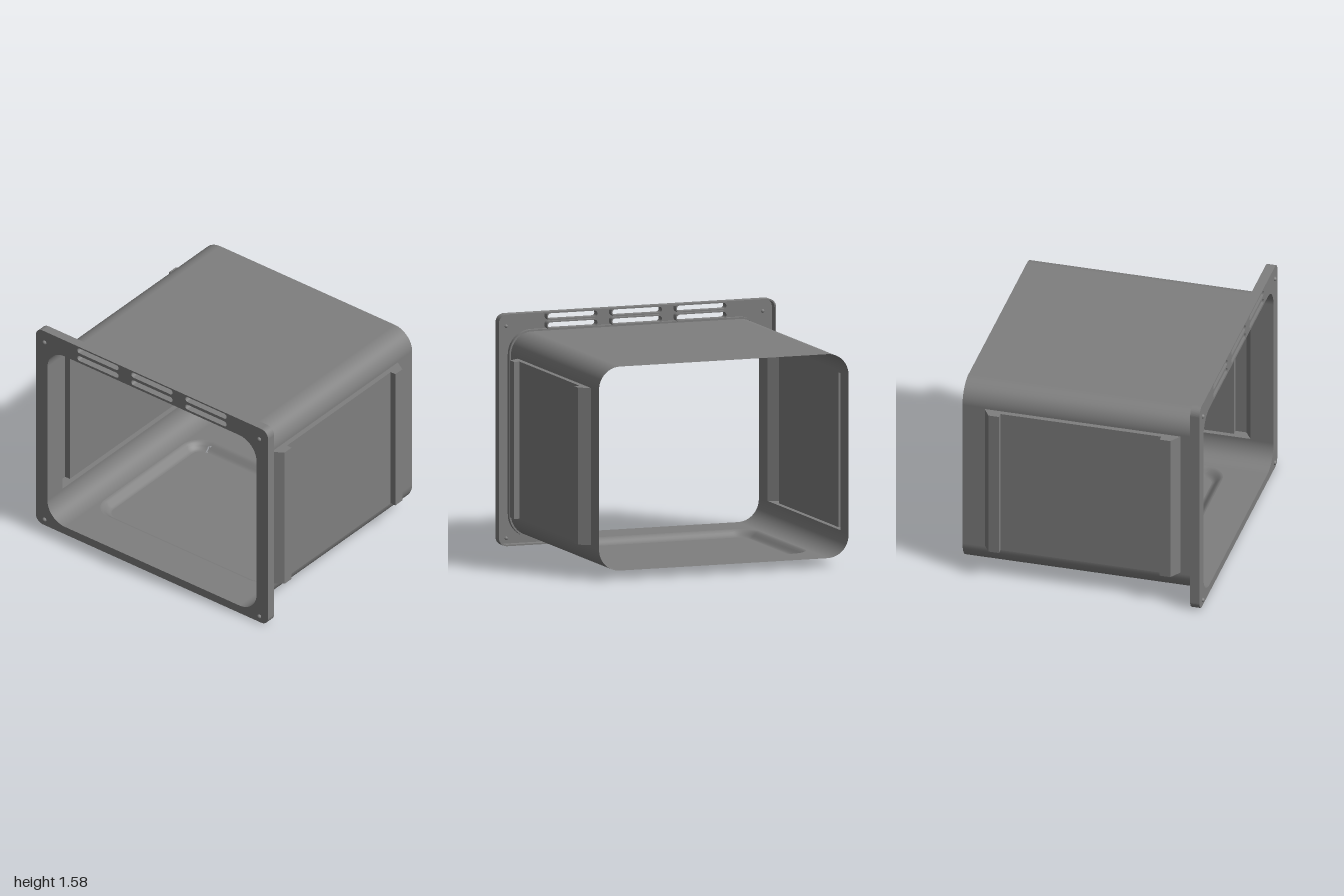
import * as THREE from 'three';

const steel = new THREE.MeshStandardMaterial({ color: 0x7f7f7f, side: THREE.DoubleSide });
steel.name = 'enamelled steel';

// Main dimensions
const X0 = -0.83, X1 = 0.845, Y0 = 0.06, Y1 = 1.45, Z = 0.9, R = 0.15;
const MIDX = (X0 + X1) / 2, LEN = X1 - X0;

// Rounded rectangle centred on (cx, cy) with half sizes w, h
function roundRect(cx, cy, w, h, r, Type = THREE.Shape) {
  const p = new Type(), q = Math.PI / 2;
  p.moveTo(cx + w, cy - h + r);
  p.lineTo(cx + w, cy + h - r);
  p.absarc(cx + w - r, cy + h - r, r, 0, q);
  p.lineTo(cx - w + r, cy + h);
  p.absarc(cx - w + r, cy + h - r, r, q, 2 * q);
  p.lineTo(cx - w, cy - h + r);
  p.absarc(cx - w + r, cy - h + r, r, 2 * q, 3 * q);
  p.lineTo(cx + w - r, cy - h);
  p.absarc(cx + w - r, cy - h + r, r, 3 * q, 4 * q);
  return p;
}

// Extrudes a shape drawn in the z-y plane from x to x + depth
function extrudeX(shape, x, depth) {
  return new THREE.ExtrudeGeometry(shape, { depth, bevelEnabled: false, curveSegments: 10 })
    .rotateY(Math.PI / 2).translate(x, 0, 0);
}

// Ring of constant wall thickness, extruded along x
function ringX(cy, w, h, r, wall, x, depth) {
  const s = roundRect(0, cy, w, h, r);
  s.holes.push(roundRect(0, cy, w - wall, h - wall, r - wall, THREE.Path));
  return extrudeX(s, x, depth);
}

// Sheet through a series of equally long rows of points
function sheet(rows, flat) {
  const n = rows[0].length, pos = [], idx = [];
  rows.forEach(row => row.forEach(p => pos.push(...p)));
  for (let i = 0; i < rows.length - 1; i++) {
    for (let j = 0; j < n - 1; j++) {
      const a = i * n + j, b = a + n;
      idx.push(a, b, a + 1, a + 1, b, b + 1);
    }
  }
  let g = new THREE.BufferGeometry();
  g.setAttribute('position', new THREE.Float32BufferAttribute(pos, 3));
  g.setIndex(idx);
  if (flat) g = g.toNonIndexed();
  g.computeVertexNormals();
  return g;
}

export function createModel() {
  const model = new THREE.Group();
  model.name = 'ovenCavity';
  const add = (name, geometry, parent = model) => {
    const m = new THREE.Mesh(geometry, steel);
    m.name = name;
    parent.add(m);
    return m;
  };

  // Shell: roof, floor with a hole for the pan, four curved corners
  add('roof', new THREE.PlaneGeometry(LEN, 2 * (Z - R)).rotateX(-Math.PI / 2).translate(MIDX, Y1, 0));
  const PX = 0.01, PW = 0.57, PD = 0.742, PR = 0.15;
  const floor = roundRect(MIDX, 0, LEN / 2, Z - R, 0.0001);
  floor.holes.push(roundRect(PX, 0, PW, PD, PR, THREE.Path));
  add('floor', new THREE.ShapeGeometry(floor, 8).rotateX(Math.PI / 2).translate(0, Y0, 0));
  [[1, 1], [1, -1], [-1, -1], [-1, 1]].forEach(([sy, sz], i) => {
    const g = new THREE.CylinderGeometry(R, R, LEN, 14, 1, true, i * Math.PI / 2, Math.PI / 2);
    g.rotateZ(Math.PI / 2);
    g.translate(MIDX, sy > 0 ? Y1 - R : Y0 + R, sz * (Z - R));
    add('shellCorner', g);
  });

  // Floor pan pressed downwards with a soft S-shaped edge
  const rows = [];
  const DROP = 0.046, INSET = 0.075;
  for (let i = 0; i <= 8; i++) {
    const t = i / 8, d = INSET * t, y = Y0 - DROP * t * t * (3 - 2 * t);
    rows.push(roundRect(PX, 0, PW - d, PD - d, PR - d).getPoints(8).map(p => [p.x, y, p.y]));
  }
  add('floorPanEdge', sheet(rows, false));
  add('floorPan', new THREE.ShapeGeometry(roundRect(PX, 0, PW - INSET, PD - INSET, PR - INSET), 8)
    .rotateX(Math.PI / 2).translate(0, Y0 - DROP, 0));

  // Side walls, each with an outward pressed panel and two deeper channels
  const A = -0.675, B = 0.69, LOW = 0.22, HIGH = 1.29;
  const profile = [[A, Z], [-0.625, 0.975], [-0.55, 0.975], [-0.55, 0.935],
    [0.57, 0.935], [0.57, 0.975], [0.645, 0.975], [B, Z]];
  for (const s of [1, -1]) {
    const side = new THREE.Group();
    side.name = s > 0 ? 'leftSide' : 'rightSide';
    model.add(side);
    const wall = new THREE.Shape([[X0, Y0 + R], [X1, Y0 + R], [X1, Y1 - R], [X0, Y1 - R]]
      .map(p => new THREE.Vector2(...p)));
    wall.holes.push(new THREE.Path([[A, LOW], [A, HIGH], [B, HIGH], [B, LOW]]
      .map(p => new THREE.Vector2(...p))));
    const wg = new THREE.ShapeGeometry(wall);
    if (s < 0) wg.scale(1, 1, 1).translate(0, 0, -Z); else wg.translate(0, 0, Z);
    add('sideWall', wg, side);
    add('pressedPanel', sheet([LOW, HIGH].map(y => profile.map(([x, z]) => [x, y, s * z])), true), side);
    const cap = new THREE.Shape(profile.map(([x, z]) => new THREE.Vector2(x, s * z)));
    for (const y of [LOW, HIGH]) {
      add('panelEnd', new THREE.ShapeGeometry(cap).rotateX(Math.PI / 2).translate(0, y, 0), side);
    }
  }

  // Front frame: slotted plate, folded rim and collar around the opening
  const frame = new THREE.Group();
  frame.name = 'frontFrame';
  model.add(frame);
  const FX = -0.835, FY = 0.79, MIDY = (Y0 + Y1) / 2, HALF = (Y1 - Y0) / 2;
  const plate = roundRect(0, FY, 1, 0.79, 0.06);
  plate.holes.push(roundRect(0, MIDY, Z, HALF, R, THREE.Path));
  const slots = [];
  for (const y of [1.549, 1.487]) for (const z of [-0.465, 0, 0.465]) slots.push([z, y]);
  for (const [z, y] of slots) plate.holes.push(roundRect(z, y, 0.178, 0.02, 0.0199, THREE.Path));
  add('framePlate', extrudeX(plate, FX, 0.01), frame);
  add('frameRim', ringX(FY, 1, 0.79, 0.06, 0.01, FX, 0.065), frame);
  add('openingCollar', ringX(MIDY, Z + 0.015, HALF + 0.012, R + 0.014, 0.012, FX + 0.005, 0.035), frame);
  for (const [z, y] of slots) {
    add('slotCollar', ringX(y, 0.186, 0.028, 0.0279, 0.008, FX + 0.005, 0.055).translate(0, 0, z), frame);
  }

  // Round-headed screws at the frame corners
  for (const y of [0.045, 1.49]) for (const z of [-0.925, 0.925]) {
    const head = new THREE.SphereGeometry(0.016, 14, 8).translate(FX, y, z);
    add('screw', head, frame);
  }
  return model;
}
